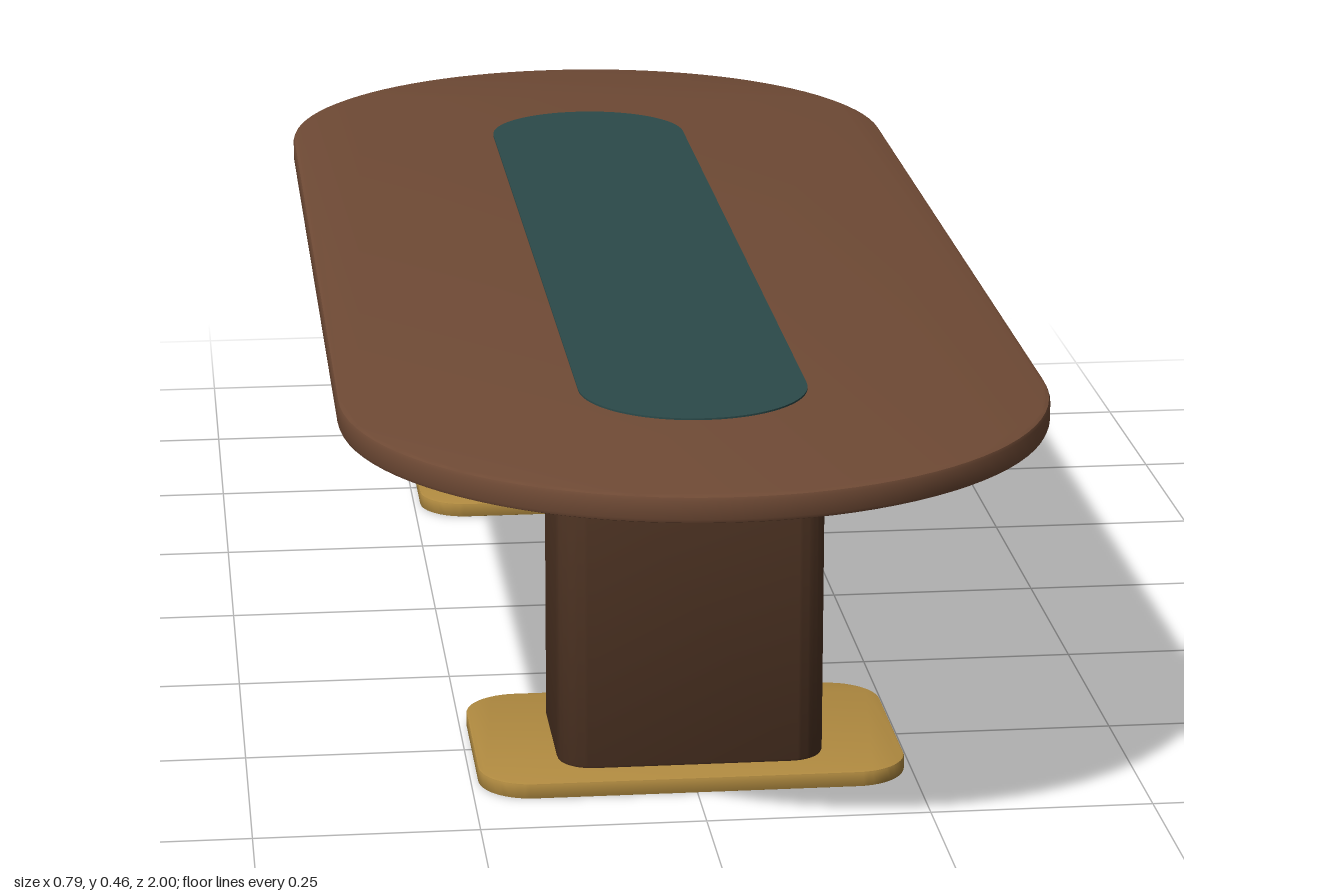
import * as THREE from 'three';
import { toCreasedNormals } from 'three/addons/utils/BufferGeometryUtils.js';

const material = (name, color) => new THREE.MeshStandardMaterial({ name, color });

// Rounded rectangle in plan (half sizes hx, hz, corner radius r)
function roundedPlan(hx, hz, r) {
  const s = new THREE.Shape();
  s.absarc(hx - r, hz - r, r, 0, Math.PI / 2);
  s.absarc(r - hx, hz - r, r, Math.PI / 2, Math.PI);
  s.absarc(r - hx, r - hz, r, Math.PI, Math.PI * 1.5);
  s.absarc(hx - r, r - hz, r, Math.PI * 1.5, Math.PI * 2);
  s.closePath();
  return s;
}

// Upright slab from y0 to y1 with softened rims that stay inside the outline
function slab(name, mat, hx, hz, r, y0, y1, bevel = 0, curveSegments = 8) {
  const geo = new THREE.ExtrudeGeometry(roundedPlan(hx, hz, r), {
    depth: y1 - y0 - 2 * bevel,
    curveSegments,
    bevelEnabled: bevel > 0,
    bevelSize: bevel,
    bevelThickness: bevel,
    bevelOffset: -bevel,
    bevelSegments: 2,
  });
  geo.translate(0, 0, bevel).rotateX(-Math.PI / 2).translate(0, y0, 0);
  const mesh = new THREE.Mesh(toCreasedNormals(geo, 0.6), mat);
  mesh.name = name;
  return mesh;
}

export function createModel() {
  const walnut = material('walnut', 0x6f4a35);
  const darkWood = material('dark wood', 0x4c3222);
  const brass = material('brass', 0xb08a40);
  const teal = material('teal', 0x2b4a4a);

  const table = new THREE.Group();
  table.name = 'table';

  // Stadium-shaped top, the apron beneath it and the thin inlay
  table.add(
    slab('tabletop', walnut, 0.393, 1, 0.392, 0.425, 0.455, 0.005, 12),
    slab('apron', darkWood, 0.303, 0.91, 0.302, 0.4, 0.426, 0, 12),
    slab('inlay', teal, 0.127, 0.727, 0.126, 0.453, 0.457, 0, 12),
  );

  // Two pedestals, each a rounded column on a brass foot plate
  for (const side of [1, -1]) {
    const pedestal = new THREE.Group();
    pedestal.name = side > 0 ? 'frontPedestal' : 'backPedestal';
    pedestal.add(
      slab('column', darkWood, 0.151, 0.108, 0.04, 0.017, 0.405, 0.004),
      slab('footPlate', brass, 0.242, 0.149, 0.06, 0, 0.018, 0.002),
    );
    pedestal.position.z = side * 0.515;
    table.add(pedestal);
  }
  return table;
}
